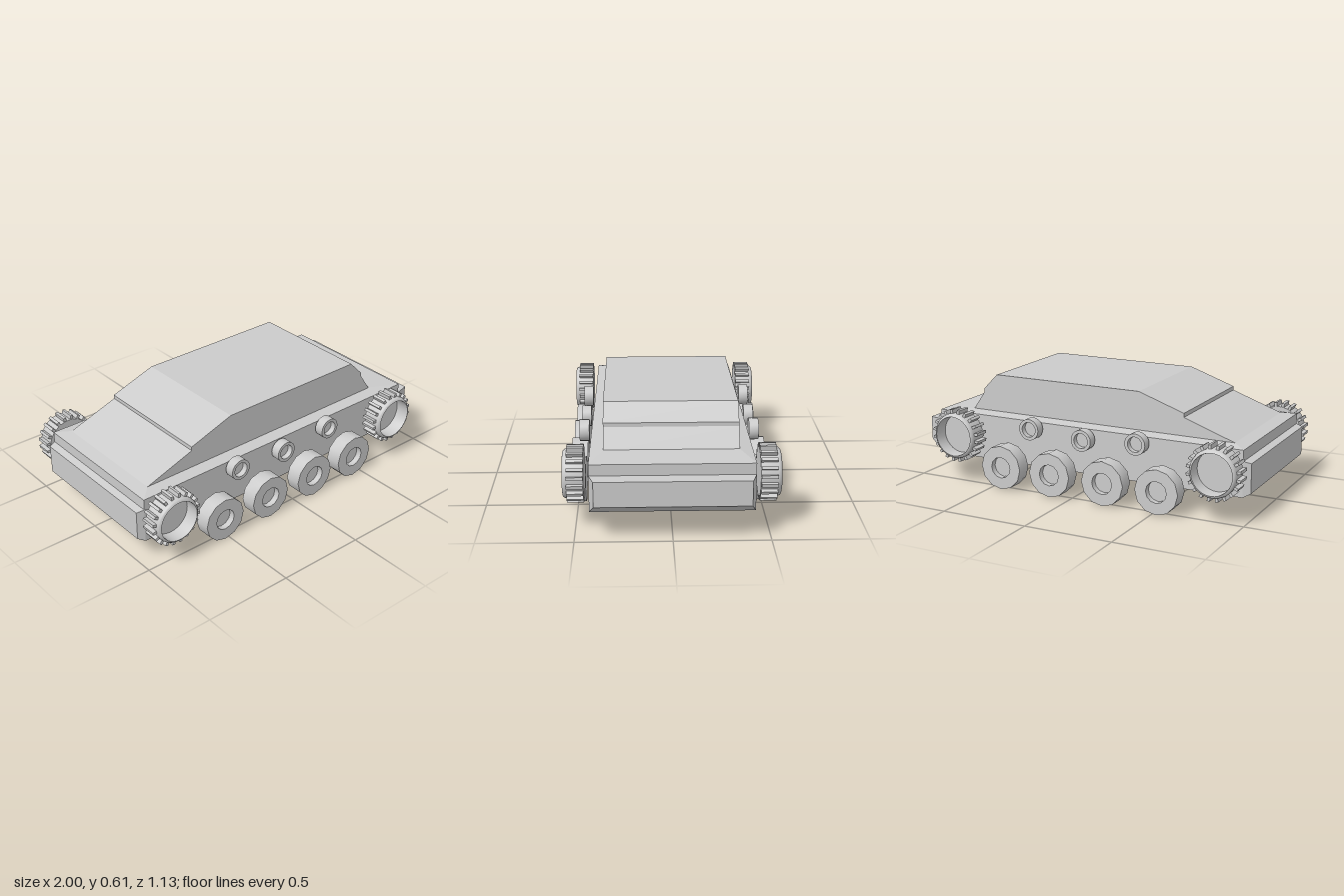
import * as THREE from 'three';
import { toCreasedNormals } from 'three/addons/utils/BufferGeometryUtils.js';

const grey = new THREE.MeshStandardMaterial({ color: 0xcccccc });

function part(name, geometry, parent) {
  const mesh = new THREE.Mesh(geometry, grey);
  mesh.name = name;
  parent.add(mesh);
  return mesh;
}

// Side profile (x, y) extruded across the full width, centred on z = 0
function slab(profile, halfWidth) {
  const shape = new THREE.Shape(profile.map(([x, y]) => new THREE.Vector2(x, y)));
  const g = new THREE.ExtrudeGeometry(shape, { depth: 2 * halfWidth, bevelEnabled: false });
  return g.translate(0, 0, -halfWidth);
}

// Move every vertex by a rule, then refresh the normals
function reshape(geometry, rule) {
  const p = geometry.attributes.position;
  const v = new THREE.Vector3();
  for (let i = 0; i < p.count; i++) {
    rule(v.fromBufferAttribute(p, i));
    p.setXYZ(i, v.x, v.y, v.z);
  }
  geometry.computeVertexNormals();
  return geometry;
}

// Turned wheel: profile of (radius, z), axis along z, outside facing +z
function turned(profile, sides) {
  const g = new THREE.LatheGeometry(profile.map(([r, z]) => new THREE.Vector2(r, z)), sides);
  return toCreasedNormals(g.rotateX(Math.PI / 2), 0.65);
}

// Wheel with a round recess in its outer face
const recessed = (r, inner, back, front, floor, sides) => turned(
  [[0, back], [r, back], [r, front], [inner, front], [inner, floor], [0, floor]], sides);

export function createModel() {
  const model = new THREE.Group();
  model.name = 'armouredVehicle';

  // Hull: main tub with a tapered block on each end
  const hull = new THREE.Group();
  hull.name = 'hull';
  model.add(hull);
  part('tub', new THREE.BoxGeometry(1.87, 0.255, 0.85).translate(-0.025, 0.2575, 0), hull);
  part('noseBlock', reshape(
    slab([[0.91, 0.13], [1, 0.19], [1, 0.325], [0.91, 0.325]], 0.425),
    (v) => { if (v.x > 0.95) v.z *= 0.94; }), hull);
  part('tailBlock', reshape(
    slab([[-0.96, 0.13], [-0.96, 0.325], [-1, 0.315], [-1, 0.152]], 0.425),
    (v) => { if (v.x < -0.98) v.z *= 0.965; }), hull);

  // Deck sloping gently up to the foot of the upper body
  part('deck', reshape(new THREE.BoxGeometry(1.87, 0.012, 0.85).translate(-0.025, 0.391, 0), (v) => {
    if (v.y > 0.39) {
      v.x = v.x > 0 ? 0.73 : -0.885;
      v.z = Math.sign(v.z) * 0.355;
    }
  }), hull);

  // Upper body with a small step on each sloping end
  part('upperBody', slab([
    [-0.885, 0.39], [0.73, 0.39], [0.655, 0.498], [0.655, 0.52], [0.567, 0.61],
    [-0.33, 0.61], [-0.595, 0.52], [-0.595, 0.498], [-0.885, 0.397],
  ], 0.355), model);

  // Running gear, the same on both sides
  const roadWheelGeo = recessed(0.125, 0.06, -0.045, 0.045, 0.01, 12);
  const rollerGeo = recessed(0.06, 0.042, -0.027, 0.027, -0.005, 20);
  const drumGeo = turned([
    [0, -0.045], [0.13, -0.045], [0.13, 0.045], [0.127, 0.056], [0.12, 0.064],
    [0.114, 0.066], [0.112, 0.058], [0.112, -0.015], [0, -0.015],
  ], 32);
  const toothGeo = new THREE.BoxGeometry(0.03, 0.016, 0.086).translate(0.137, 0, 0);

  for (const side of [1, -1]) {
    const gear = new THREE.Group();
    gear.name = side > 0 ? 'frontRunningGear' : 'backRunningGear';
    model.add(gear);
    const place = (object, x, y, z) => {
      object.position.set(x, y, side * z);
      if (side < 0) object.rotation.y = Math.PI;
    };

    for (const x of [-0.525, -0.205, 0.122, 0.433]) {
      place(part('roadWheel', roadWheelGeo, gear), x, 0.128, 0.5);
    }
    for (const [x, y] of [[-0.375, 0.355], [-0.05, 0.333], [0.277, 0.355]]) {
      place(part('returnRoller', rollerGeo, gear), x, y, 0.467);
    }

    // Toothed sprocket at each end
    for (const x of [-0.842, 0.735]) {
      const sprocket = new THREE.Group();
      sprocket.name = 'sprocket';
      gear.add(sprocket);
      place(sprocket, x, 0.275, 0.498);
      part('drum', drumGeo, sprocket);
      const teeth = 20;
      for (let i = 0; i < teeth; i++) {
        part('tooth', toothGeo, sprocket).rotation.z = ((i + 0.5) / teeth) * Math.PI * 2;
      }
    }
  }
  return model;
}
